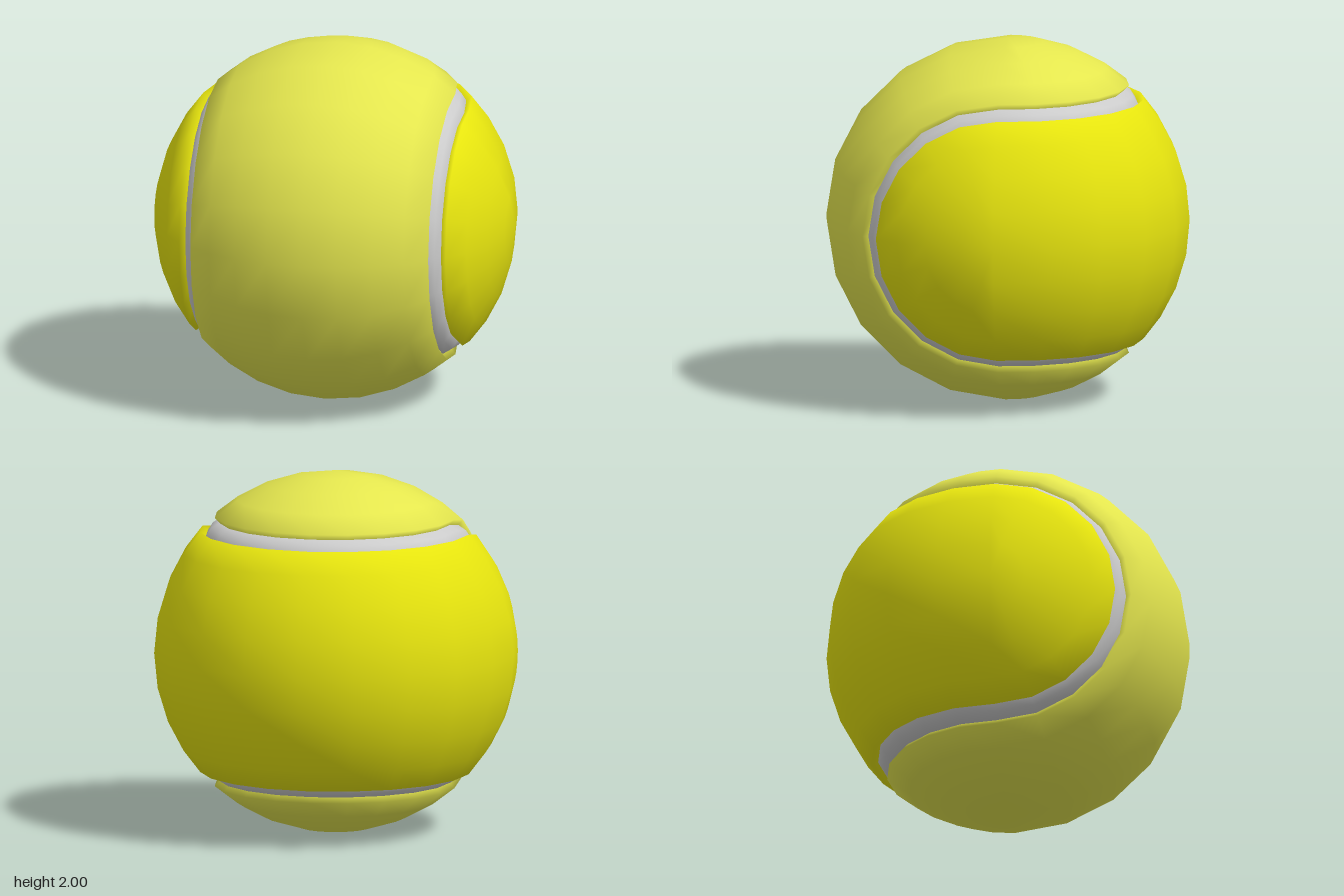
import * as THREE from 'three';
import { mergeGeometries, mergeVertices } from 'three/addons/utils/BufferGeometryUtils.js';

const STEPS = 10; // segments per half turn
const RAD = Math.PI / 180;

// Sweeps a profile of [angle, radius] pairs through a half turn.
function sweep(profile, place) {
  const pos = [], index = [], n = profile.length;
  for (let i = 0; i <= STEPS; i++) {
    const turn = (i / STEPS) * Math.PI;
    for (const [deg, r] of profile) {
      const across = Math.sin(deg * RAD) * r, up = Math.cos(deg * RAD) * r;
      pos.push(...place(turn, across, up));
    }
  }
  for (let i = 0; i < STEPS; i++) {
    for (let j = 0; j < n - 1; j++) {
      const a = i * n + j, b = a + 1, c = a + n, d = c + 1;
      index.push(a, b, d, a, d, c);
    }
  }
  const geo = new THREE.BufferGeometry();
  geo.setAttribute('position', new THREE.Float32BufferAttribute(pos, 3));
  geo.setIndex(index);
  return geo;
}

// Band runs from bottom to top over the front; caps are half discs behind it.
const band = (t, s, u) => [s, -u * Math.cos(t), u * Math.sin(t)];
const topCap = (t, s, u) => [s * Math.cos(t), u, -s * Math.sin(t)];
const bottomCap = (t, s, u) => [-s * Math.cos(t), -u, -s * Math.sin(t)];

const mirror = (profile) => profile.map(([a, r]) => [-a, r]).reverse();

function weld(parts) {
  const geo = mergeVertices(mergeGeometries(parts), 1e-4);
  geo.computeVertexNormals();
  return geo;
}

function makeMesh(name, geo, color) {
  const material = new THREE.MeshStandardMaterial({ color, side: THREE.DoubleSide });
  const mesh = new THREE.Mesh(geo, material);
  mesh.name = name;
  return mesh;
}

export function createModel() {
  const ball = new THREE.Group();
  ball.name = 'ball';

  // Felt panel: half of its cross-section, ending in a short inward rim
  const half = [[0, 1], [11.25, 1], [22.5, 1], [33, 1], [41.75, 1], [41.75, 0.93]];
  const panelGeo = weld([
    sweep([...mirror(half).slice(0, -1), ...half], band),
    sweep(half, topCap),
    sweep(half, bottomCap),
  ]);
  const frontPanel = makeMesh('frontPanel', panelGeo, 0xe4e64e);

  // The second panel is the first, turned half way round a diagonal axis
  const backPanel = makeMesh('backPanel', panelGeo, 0xe6e40e);
  backPanel.quaternion.setFromAxisAngle(new THREE.Vector3(1, 1, 0).normalize(), Math.PI);

  // Rounded seam in the groove between the panels
  const bead = [[40, 0.94], [42, 0.962], [45, 0.972], [48, 0.962], [50, 0.94]];
  const seam = makeMesh('seam', weld([
    sweep(bead, band),
    sweep(mirror(bead), band),
    sweep(bead, topCap),
    sweep(bead, bottomCap),
  ]), 0xcccccc);

  for (const part of [frontPanel, backPanel, seam]) {
    part.position.y = 1;
    ball.add(part);
  }
  return ball;
}
